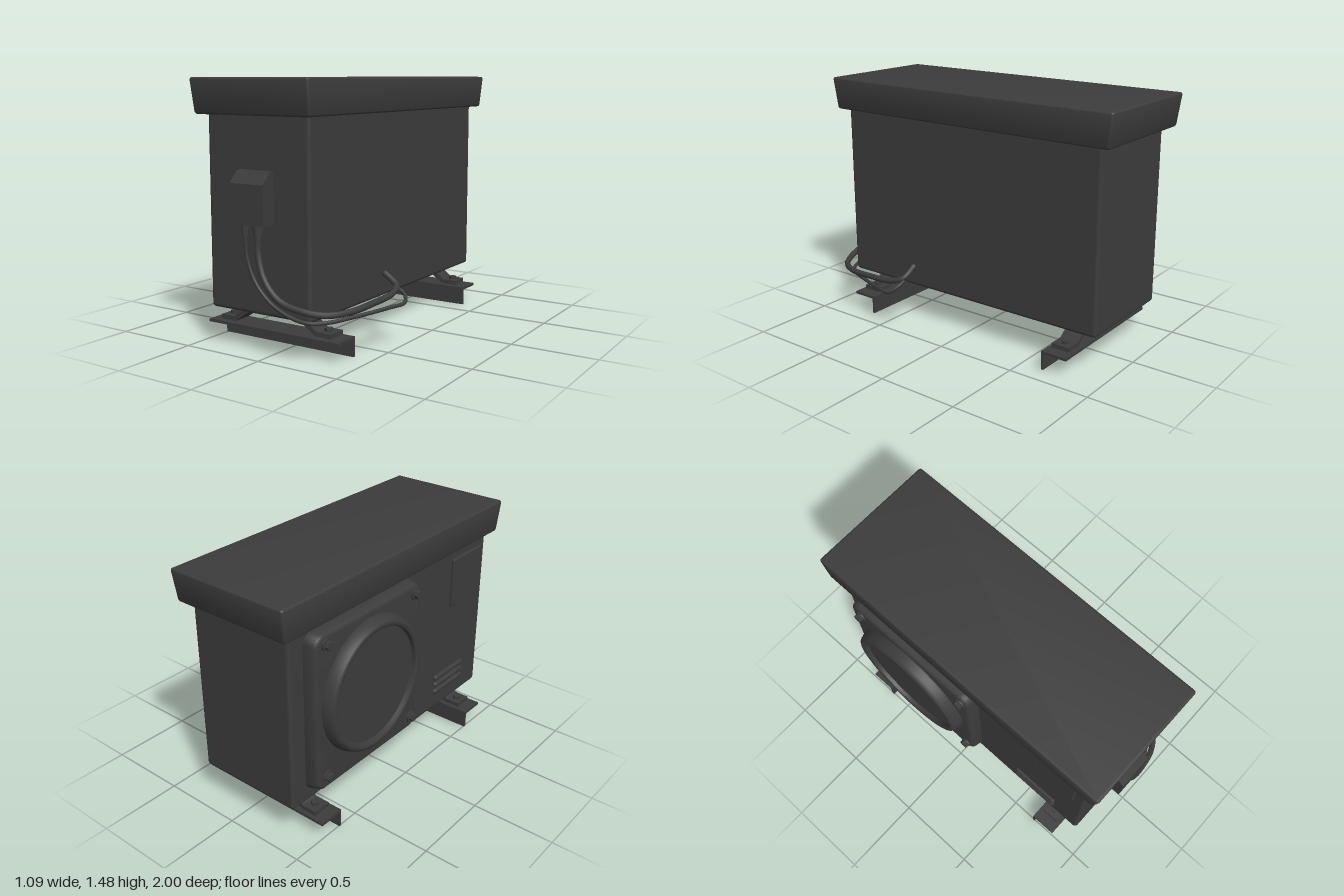
import * as THREE from 'three';
import { toCreasedNormals } from 'three/addons/utils/BufferGeometryUtils.js';
import { RoundedBoxGeometry } from 'three/addons/geometries/RoundedBoxGeometry.js';

const material = new THREE.MeshStandardMaterial({ color: 0x3c3c3c });

export function createModel() {
  const model = new THREE.Group();

  const add = (name, geometry, x = 0, y = 0, z = 0) => {
    const mesh = new THREE.Mesh(geometry, material);
    mesh.name = name;
    mesh.position.set(x, y, z);
    model.add(mesh);
    return mesh;
  };
  // Box given by its limits, optionally rounded
  const box = (name, [x0, x1], [y0, y1], [z0, z1], r = 0) => {
    const size = [x1 - x0, y1 - y0, z1 - z0];
    const g = r ? new RoundedBoxGeometry(...size, 3, r) : new THREE.BoxGeometry(...size);
    return add(name, g, (x0 + x1) / 2, (y0 + y1) / 2, (z0 + z1) / 2);
  };
  const polygon = (pts) => new THREE.Shape(pts.map(([x, y]) => new THREE.Vector2(x, y)));
  const roundedRect = (w, h, r) => {
    const s = new THREE.Shape();
    const a = w / 2 - r, b = h / 2 - r;
    s.absarc(a, b, r, 0, Math.PI / 2);
    s.absarc(-a, b, r, Math.PI / 2, Math.PI);
    s.absarc(-a, -b, r, Math.PI, Math.PI * 1.5);
    s.absarc(a, -b, r, Math.PI * 1.5, Math.PI * 2);
    return s;
  };

  // Cabinet and its flared lid
  box('cabinet', [-0.4, 0.28], [0.22, 1.31], [-0.91, 0.91], 0.022);
  const lid = box('lid', [-0.455, 0.335], [1.285, 1.482], [-0.998, 0.992], 0.016);
  const lp = lid.geometry.attributes.position;
  for (let i = 0; i < lp.count; i++) {
    const t = (0.0985 - lp.getY(i)) / 0.197;
    lp.setX(i, lp.getX(i) * (1 - 0.03 * t));
    lp.setZ(i, lp.getZ(i) * (1 - 0.025 * t));
  }
  lid.geometry = toCreasedNormals(lid.geometry, 0.6);

  // Fan panel, narrowing outwards
  const panelY = 0.777, panelZ = -0.34, fanY = 0.807, fanZ = -0.35;
  const panel = new THREE.ExtrudeGeometry(roundedRect(0.89, 0.94, 0.05), {
    depth: 0.06, bevelSize: 0.018, bevelThickness: 0.018, bevelSegments: 3, curveSegments: 6,
  });
  const pp = panel.attributes.position;
  for (let i = 0; i < pp.count; i++) {
    const s = 1 - 0.4 * Math.max(0, pp.getZ(i));
    pp.setXY(i, pp.getX(i) * s, pp.getY(i) * s);
  }
  panel.rotateY(-Math.PI / 2);
  add('fanPanel', toCreasedNormals(panel, 0.6), -0.397, panelY, panelZ);

  // Round fan cover with a raised rim and recessed disc
  const cover = new THREE.LatheGeometry([
    [0.4, 0], [0.4, 0.018], [0.39, 0.05], [0.382, 0.067], [0.37, 0.074],
    [0.355, 0.074], [0.345, 0.067], [0.34, 0.045], [0, 0.045],
  ].map(([r, h]) => new THREE.Vector2(r, h)), 64);
  cover.rotateZ(Math.PI / 2);
  add('fanCover', toCreasedNormals(cover, 0.7), -0.471, fanY, fanZ);

  // Hexagonal panel bolts with washers
  for (const y of [0.38, 1.195]) {
    for (const z of [-0.71, 0.055]) {
      const washer = new THREE.CylinderGeometry(0.035, 0.035, 0.012, 20).rotateZ(Math.PI / 2);
      add('panelWasher', washer, -0.48, y, z);
      const head = new THREE.CylinderGeometry(0.026, 0.026, 0.03, 6).rotateZ(Math.PI / 2);
      add('panelBolt', toCreasedNormals(head, 0.5), -0.493, y, z);
    }
  }

  // Access plate and louvres
  box('accessPlate', [-0.418, -0.39], [0.91, 1.22], [0.54, 0.84], 0.006);
  for (const y of [0.345, 0.395, 0.445]) {
    const louvre = new THREE.CapsuleGeometry(0.018, 0.28, 4, 12).rotateX(Math.PI / 2);
    add('louvre', louvre, -0.4, y, 0.57);
  }

  // Junction box: side profile extruded across x
  const junction = new THREE.ExtrudeGeometry(
    polygon([[0.9, 0.72], [1, 0.72], [1, 0.935], [0.94, 1], [0.9, 1]]),
    { depth: 0.22, bevelEnabled: false });
  junction.rotateY(-Math.PI / 2);
  add('junctionBox', junction, 0.05);

  // Cables with their glands
  const cable = (name, r, pts) => {
    const curve = new THREE.CatmullRomCurve3(pts.map((p) => new THREE.Vector3(...p)));
    add(name, new THREE.TubeGeometry(curve, 90, r, 10));
    const [x, , z] = pts[0];
    add('cableGland', new THREE.CylinderGeometry(r + 0.011, r + 0.011, 0.035, 12), x, 0.705, z);
    add('glandNut', new THREE.CylinderGeometry(r + 0.006, r + 0.006, 0.045, 12), x, 0.68, z);
    // End cap
    const cap = add('cableEnd', new THREE.CylinderGeometry(r, r, 0.004, 10), ...pts[pts.length - 1]);
    cap.quaternion.setFromUnitVectors(new THREE.Vector3(0, 1, 0), curve.getTangent(1));
  };
  cable('thickCable', 0.018, [
    [-0.017, 0.7, 0.96], [-0.012, 0.56, 0.968], [0.04, 0.43, 0.98], [0.14, 0.335, 0.98],
    [0.28, 0.295, 0.955], [0.37, 0.28, 0.9], [0.435, 0.28, 0.78], [0.46, 0.29, 0.6],
    [0.474, 0.308, 0.42], [0.45, 0.335, 0.335], [0.365, 0.392, 0.322],
  ]);
  cable('thinCable', 0.011, [
    [-0.105, 0.7, 0.96], [-0.1, 0.54, 0.955], [-0.05, 0.41, 0.95], [0.05, 0.31, 0.95],
    [0.18, 0.25, 0.945], [0.28, 0.23, 0.925], [0.35, 0.228, 0.85], [0.42, 0.236, 0.7],
    [0.5, 0.25, 0.5], [0.533, 0.26, 0.38], [0.5, 0.295, 0.335], [0.45, 0.32, 0.328],
  ]);

  // Angle rails, bent feet and foot bolts
  const footShape = polygon([
    [-0.435, 0.118], [-0.335, 0.118], [-0.225, 0.192], [0.11, 0.192], [0.22, 0.118],
    [0.32, 0.118], [0.32, 0.143], [0.228, 0.143], [0.118, 0.222], [-0.233, 0.222],
    [-0.343, 0.143], [-0.435, 0.143],
  ]);
  const rails = [
    { flange: [0.655, 0.817], web: [0.655, 0.67], footZ: 0.675 },
    { flange: [-0.792, -0.63], web: [-0.645, -0.63], footZ: -0.77 },
  ];
  for (const { flange, web, footZ } of rails) {
    box('railFlange', [-0.505, 0.385], [0.096, 0.112], flange);
    box('railWeb', [-0.505, 0.385], [0, 0.1], web);
    add('foot', new THREE.ExtrudeGeometry(footShape, { depth: 0.115, bevelEnabled: false }), 0, 0, footZ);
    for (const x of [-0.385, 0.27]) {
      box('footSpacer', [x - 0.04, x + 0.04], [0.108, 0.12], [footZ + 0.015, footZ + 0.1]);
      const head = new THREE.CylinderGeometry(0.024, 0.024, 0.022, 6);
      add('footBolt', toCreasedNormals(head, 0.5), x, 0.15, footZ + 0.057);
    }
  }
  return model;
}
